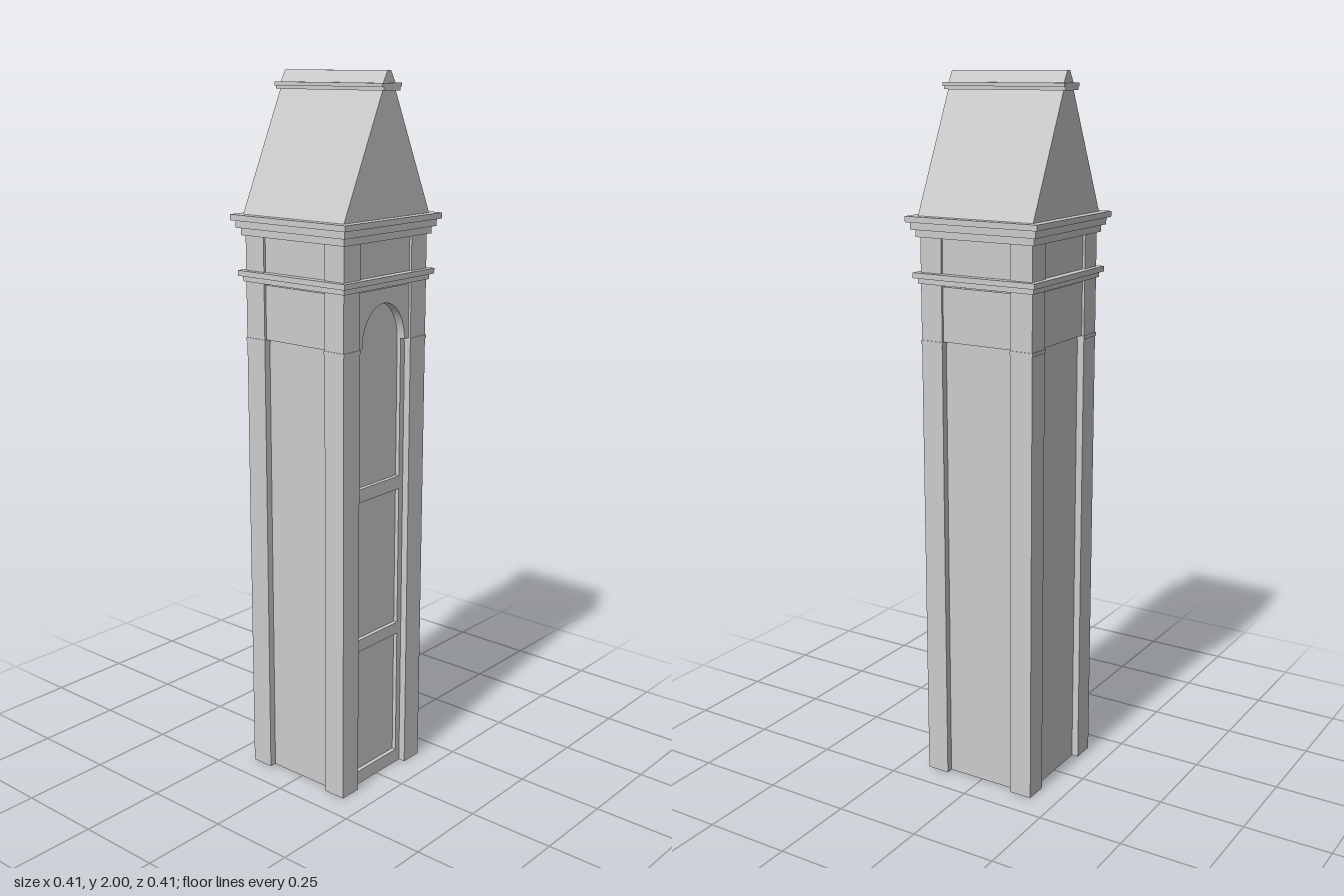
import * as THREE from 'three';

const material = new THREE.MeshStandardMaterial({ color: 0xcccccc, flatShading: true, side: THREE.DoubleSide });

export function createModel() {
  const model = new THREE.Group();
  model.name = 'clockTower';

  const add = (name, geometry, x = 0, y = 0, z = 0) => {
    const mesh = new THREE.Mesh(geometry, material);
    mesh.name = name;
    mesh.position.set(x, y, z);
    model.add(mesh);
    return mesh;
  };
  // Box given by its half widths and its bottom and top heights
  const slab = (name, hx, hz, y0, y1, x = 0, z = 0) =>
    add(name, new THREE.BoxGeometry(hx * 2, y1 - y0, hz * 2), x, (y0 + y1) / 2, z);
  const polygon = (points) => new THREE.Shape(points.map(([x, y]) => new THREE.Vector2(x, y)));
  const rect = (x0, y0, x1, y1) => polygon([[x0, y0], [x1, y0], [x1, y1], [x0, y1]]);
  const extrude = (shape, depth) =>
    new THREE.ExtrudeGeometry(shape, { depth, bevelEnabled: false, curveSegments: 20 });
  // Symmetric profile extruded along z, centred on z = 0
  const prism = (name, halfWidths, depth) => {
    const right = halfWidths.map(([x, y]) => [x, y]);
    const left = halfWidths.map(([x, y]) => [-x, y]).reverse();
    add(name, extrude(polygon([...right, ...left]), depth), 0, 0, -depth / 2);
  };

  const OUT = 0.174;     // outer face of the piers
  const IN = 0.108;      // inner edge of the piers
  const WALL = 0.154;    // face of the recessed walls
  const FRIEZE = 0.167;  // face of the upper panels
  const SPRING = 1.29;   // height where the arch starts

  // Recessed shaft, set deeper at the front for the panelled frame
  slab('shaft', WALL, (WALL + 0.142) / 2, 0, 1.58, 0, (0.142 - WALL) / 2);

  // Corner piers with a thin band at the arch springing
  const half = (OUT - IN) / 2;
  const centre = (OUT + IN) / 2;
  for (const sx of [-1, 1]) {
    for (const sz of [-1, 1]) {
      slab('cornerPier', half, half, 0, 1.575, sx * centre, sz * centre);
      slab('pierBand', half + 0.002, half + 0.002, 1.28, SPRING, sx * centre, sz * centre);
    }
  }

  // Front frame with three sunken panels, the top one running up into the arch
  const frame = rect(-IN, 0, IN, SPRING + 0.13);
  frame.holes.push(rect(-0.09, 0.04, 0.09, 0.415), rect(-0.09, 0.45, 0.09, 0.857));
  const arched = new THREE.Path();
  arched.moveTo(-0.09, 0.895);
  arched.lineTo(0.09, 0.895);
  arched.lineTo(0.09, SPRING);
  arched.absellipse(0, SPRING, 0.09, 0.11, 0, Math.PI, false);
  arched.closePath();
  frame.holes.push(arched);
  add('frontFrame', extrude(frame, WALL - 0.136), 0, 0, 0.136);

  // Arched panel on the front
  const spandrel = new THREE.Shape();
  spandrel.moveTo(0.09, SPRING);
  spandrel.lineTo(IN, SPRING);
  spandrel.lineTo(IN, 1.44);
  spandrel.lineTo(-IN, 1.44);
  spandrel.lineTo(-IN, SPRING);
  spandrel.lineTo(-0.09, SPRING);
  spandrel.absellipse(0, SPRING, 0.09, 0.11, Math.PI, 0, true);
  add('archPanel', extrude(spandrel, FRIEZE - 0.14), 0, 0, 0.14);

  // Plain upper panels on the sides and back
  slab('sideUpperPanels', FRIEZE, IN, SPRING, 1.44);
  slab('backUpperPanel', IN, FRIEZE / 2, SPRING, 1.44, 0, -FRIEZE / 2);

  // Frieze panels below the cornice
  slab('friezePanelsSide', FRIEZE, IN, 1.475, 1.58);
  slab('friezePanelsFront', IN, FRIEZE, 1.475, 1.58);

  // String course and stepped cornice: half width, bottom, top
  const mouldings = [
    ['stringCourseLower', 0.18, 1.445, 1.46],
    ['stringCourseUpper', 0.19, 1.46, 1.475],
    ['corniceLower', 0.183, 1.57, 1.59],
    ['corniceMiddle', 0.193, 1.59, 1.61],
    ['corniceUpper', 0.203, 1.61, 1.626],
  ];
  for (const [name, h, y0, y1] of mouldings) slab(name, h, h, y0, y1);

  // Steep gabled roof with a capped ridge
  prism('roof', [[0.178, 1.626], [0.022, 1.96]], 0.355);
  slab('ridgeCapLower', 0.034, 0.187, 1.95, 1.959);
  slab('ridgeCapUpper', 0.04, 0.187, 1.959, 1.969);
  prism('ridgeCrest', [[0.025, 1.969], [0.007, 2.0]], 0.355);

  return model;
}
